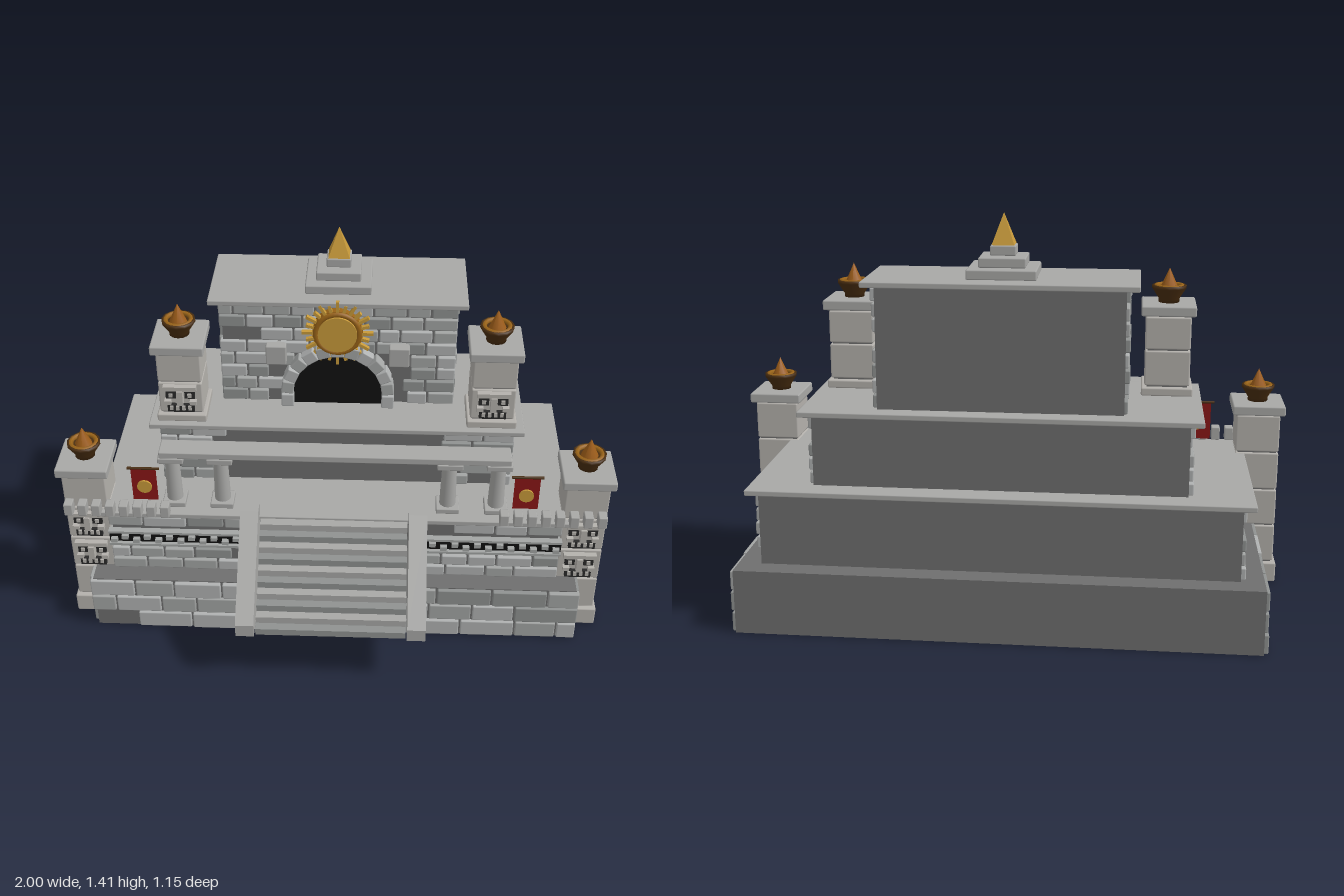
import * as THREE from 'three';
import { mergeGeometries } from 'three/addons/utils/BufferGeometryUtils.js';
import { RoundedBoxGeometry } from 'three/addons/geometries/RoundedBoxGeometry.js';

const mat = (color, extra = {}) => new THREE.MeshStandardMaterial({ color, ...extra });
const M = {
  core: mat(0x6e6e6e), slab: mat(0xa8a8a6), pillar: mat(0xb4b1ac), dark: mat(0x2a2a2a), black: mat(0x101010),
  gold: mat(0xc89a3a), bowl: mat(0x4a2e10), ember: mat(0x9a6418), flame: mat(0x9c5c18),
  red: mat(0x8a1616, { side: THREE.DoubleSide }),
};
const shades = [0x8f9291, 0xa3a5a4, 0xb0b2b2].map((c) => mat(c));

let seed = 7;
const rand = () => (seed = (seed * 16807) % 2147483647) / 2147483647;

function mesh(parent, name, geo, material, x = 0, y = 0, z = 0) {
  const m = new THREE.Mesh(geo, material);
  m.name = name;
  m.position.set(x, y, z);
  parent.add(m);
  return m;
}
function group(parent, name, x = 0, y = 0, z = 0) {
  const g = new THREE.Group();
  g.name = name;
  g.position.set(x, y, z);
  parent.add(g);
  return g;
}
// Box given by its limits on each axis
function box(parent, name, [x0, x1], [y0, y1], [z0, z1], material, round = 0) {
  const s = [x1 - x0, y1 - y0, z1 - z0];
  const geo = round ? new RoundedBoxGeometry(...s, 1, round) : new THREE.BoxGeometry(...s);
  return mesh(parent, name, geo, material, (x0 + x1) / 2, (y0 + y1) / 2, (z0 + z1) / 2);
}

// Courses of staggered stones; side is 0 for a front wall, +1 / -1 for a left / right wall
function stoneWall(parent, name, side, [u0, u1], [y0, y1], rows, at, width, missing = 0, blocked = () => false) {
  const buckets = shades.map(() => []);
  const h = (y1 - y0) / rows, gap = 0.007, depth = 0.03;
  for (let r = 0; r < rows; r++) {
    let u = u0;
    const y = y0 + (r + 0.5) * h;
    let w = width * (r % 2 ? 0.55 : 1);
    while (u < u1 - 0.01) {
      let end = Math.min(u + w, u1);
      if (u1 - end < width * 0.35) end = u1;
      const mid = (u + end) / 2, len = end - u - gap;
      if (rand() >= missing && !blocked(mid, y, len)) {
        const geo = side ? new RoundedBoxGeometry(depth, h - gap, len, 1, 0.005)
          : new RoundedBoxGeometry(len, h - gap, depth, 1, 0.005);
        const out = at - depth / 2 + rand() * 0.006 - 0.003;
        if (side) geo.translate(side * out, y, mid);
        else geo.translate(mid, y, out);
        buckets[Math.floor(rand() * 3)].push(geo);
      }
      u = end;
      w = width * (0.75 + rand() * 0.5);
    }
  }
  const g = group(parent, name);
  buckets.forEach((b, i) => b.length && mesh(g, 'stones', mergeGeometries(b), shades[i]));
}

// Carved mask: brow, eyes, nose and toothed mouth, on a pillar front
function mask(parent, y, z) {
  const g = group(parent, 'carvedMask', 0, y, z);
  box(g, 'brow', [-0.06, 0.06], [0.038, 0.055], [-0.01, 0.022], M.pillar);
  box(g, 'nose', [-0.011, 0.011], [-0.018, 0.04], [-0.01, 0.03], M.pillar);
  box(g, 'mouth', [-0.048, 0.048], [-0.055, -0.025], [-0.01, 0.014], M.dark);
  for (const s of [-1, 1]) {
    box(g, 'eyeSocket', [s * 0.034 - 0.018, s * 0.034 + 0.018], [0.002, 0.034], [-0.01, 0.012], M.dark);
    box(g, 'pupil', [s * 0.034 - 0.007, s * 0.034 + 0.007], [0.01, 0.024], [-0.01, 0.018], M.pillar);
    box(g, 'cheek', [s * 0.046 - 0.012, s * 0.046 + 0.012], [-0.022, -0.006], [-0.01, 0.02], M.pillar);
  }
  for (let i = 0; i < 4; i++) box(g, 'tooth', [-0.039 + i * 0.022, -0.027 + i * 0.022], [-0.044, -0.027], [0, 0.02], M.pillar);
}

// Fire bowl with embers and flame, standing on y = 0
function brazier(parent, y) {
  const g = group(parent, 'brazier', 0, y, 0);
  const profile = [[0, 0], [0.036, 0], [0.036, 0.012], [0.06, 0.05], [0.06, 0.06], [0.05, 0.06], [0.045, 0.05], [0, 0.05]];
  mesh(g, 'bowl', new THREE.LatheGeometry(profile.map((p) => new THREE.Vector2(...p)), 12), M.bowl);
  mesh(g, 'embers', new THREE.TorusGeometry(0.046, 0.009, 6, 16).rotateX(Math.PI / 2), M.ember, 0, 0.055, 0);
  mesh(g, 'flame', new THREE.ConeGeometry(0.032, 0.07, 8), M.flame, 0, 0.085, 0);
}

// Pillar of stacked blocks with cap and brazier
function pillar(parent, name, x, z, joints, masks) {
  const g = group(parent, name, x, 0, z);
  const top = joints[joints.length - 1];
  for (let i = 0; i < joints.length - 1; i++) {
    const r = i === 0 ? 0.09 : 0.079;
    box(g, 'block', [-r, r], [joints[i], joints[i + 1] - 0.005], [-r, r], M.pillar, 0.006);
  }
  box(g, 'pillarCore', [-0.07, 0.07], [joints[0] + 0.01, top], [-0.07, 0.07], M.core);
  box(g, 'cap', [-0.095, 0.095], [top, top + 0.036], [-0.1, 0.1], M.slab, 0.006);
  masks.forEach((y) => mask(g, y, 0.079));
  brazier(g, top + 0.036);
}

export function createModel() {
  const model = new THREE.Group();
  model.name = 'steppedTemple';

  // Terraces: half width, y range, z range, slab overhang, courses, stone width, missing share, front gap
  const tiers = [
    { name: 'base', w: 0.91, y: [0, 0.228], z: [-0.575, 0.315], slab: 0, rows: 3, len: 0.17, miss: 0.02, open: () => false },
    { name: 'lowerTerrace', w: 0.83, y: [0.228, 0.48], z: [-0.5, 0.235], slab: 0.028, rows: 5, len: 0.13, miss: 0.07, open: (x, y) => Math.abs(x) < 0.3 || (y > 0.35 && y < 0.41) },
    { name: 'middleTerrace', w: 0.65, y: [0.5, 0.745], z: [-0.445, 0.03], slab: 0.03, rows: 5, len: 0.12, miss: 0.08, open: (x, y, l) => Math.abs(x) - l / 2 < 0.33 },
    { name: 'shrine', w: 0.43, y: [0.765, 1.183], z: [-0.41, -0.11], slab: 0.03, rows: 8, len: 0.1, miss: 0.08, open: (x, y, l) => Math.abs(x) - l / 2 < 0.15 && y < 0.98 },
  ];
  for (const t of tiers) {
    const g = group(model, t.name);
    box(g, 'core', [-t.w + 0.014, t.w - 0.014], t.y, [t.z[0], t.z[1] - 0.014], M.core);
    stoneWall(g, 'frontStones', 0, [-t.w, t.w], t.y, t.rows, t.z[1], t.len, t.miss, t.open);
    for (const s of [1, -1]) stoneWall(g, 'sideStones', s, [t.z[0], t.z[1] - 0.025], t.y, t.rows, t.w, t.len, t.miss * 2);
    if (t.slab) box(g, 'topSlab', [-t.w - t.slab, t.w + t.slab], [t.y[1], t.y[1] + 0.02], [t.z[0] - t.slab * 0.9, t.z[1] + t.slab * (t.name === 'lowerTerrace' ? 0.3 : 0.9)], M.slab, 0.004);
  }

  // Stairway with sloped side walls
  const stairs = group(model, 'stairway');
  const steps = 10;
  for (let i = 0; i < steps; i++) {
    const z = 0.57 - i * 0.032;
    box(stairs, 'step', [-0.265, 0.265], [0.23, 0.23 + (i + 1) * 0.0265], [z - 0.034, z], i % 2 ? M.slab : shades[0]);
  }
  const ramp = new THREE.Shape([[0.22, 0.23], [0.58, 0.23], [0.58, 0.28], [0.275, 0.55], [0.22, 0.55]].map((p) => new THREE.Vector2(...p)));
  for (const s of [1, -1]) {
    const geo = new THREE.ExtrudeGeometry(ramp, { depth: 0.065, bevelEnabled: false });
    geo.translate(0, 0, -0.0325).rotateY(-Math.PI / 2);
    mesh(stairs, 'stairWall', geo, M.slab, s * 0.302, 0, 0);
  }

  // Mirrored fittings of the lower front
  for (const s of [1, -1]) {
    const wing = group(model, s > 0 ? 'leftWing' : 'rightWing');
    pillar(wing, 'lowerPillar', s * 0.903, 0.142, [0, 0.08, 0.225, 0.365, 0.508, 0.65], [0.295, 0.435]);
    pillar(wing, 'upperPillar', s * 0.56, -0.055, [0.765, 0.8, 0.93, 1.05], [0.865]);
    for (let i = 0; i < 8; i++) {
      const x = s * (0.61 + i * 0.05);
      box(wing, 'merlon', [x - 0.016, x + 0.016], [0.5, 0.55], [0.225, 0.268], M.slab, 0.004);
    }
    // Fretwork frieze
    const x0 = s > 0 ? 0.34 : -0.83;
    box(wing, 'friezeBand', [x0, x0 + 0.49], [0.355, 0.405], [0.2, 0.232], M.black);
    for (let i = 0; i < 12; i++) {
      const x = s * (0.36 + i * 0.041), y = i % 2 ? 0.372 : 0.388;
      box(wing, 'friezeStone', [x - 0.012, x + 0.012], [y - 0.008, y + 0.008], [0.22, 0.25], shades[1]);
    }
    for (const y of [0.352, 0.408]) box(wing, 'friezeRail', [x0, x0 + 0.49], [y - 0.005, y + 0.005], [0.21, 0.246], shades[1]);
    // Porch columns
    for (const x of [0.41, 0.585]) {
      const c = group(wing, 'column', s * x, 0, 0.162);
      mesh(c, 'shaft', new THREE.CylinderGeometry(0.026, 0.03, 0.19, 12), M.slab, 0, 0.61, 0);
      box(c, 'plinth', [-0.042, 0.042], [0.5, 0.522], [-0.042, 0.042], M.slab, 0.004);
      box(c, 'capital', [-0.046, 0.046], [0.7, 0.723], [-0.046, 0.046], M.slab, 0.004);
    }
    // Hanging banner
    const b = group(wing, 'banner', s * 0.69, 0, 0.183);
    mesh(b, 'cloth', new THREE.PlaneGeometry(0.092, 0.14), M.red, 0, 0.588, 0);
    mesh(b, 'rod', new THREE.CylinderGeometry(0.005, 0.005, 0.115, 8).rotateZ(Math.PI / 2), M.bowl, 0, 0.66, 0);
    mesh(b, 'emblem', new THREE.CylinderGeometry(0.027, 0.027, 0.008, 16).rotateX(Math.PI / 2), M.gold, 0, 0.58, 0.003);
    // Corbel beside the arch
    box(wing, 'corbel', [s * 0.222 - 0.037, s * 0.222 + 0.037], [0.945, 1.022], [-0.13, -0.078], M.slab, 0.005);
  }
  box(model, 'porchBeam', [-0.625, 0.625], [0.722, 0.748], [0.122, 0.205], M.slab, 0.004);

  // Arched doorway
  const arch = group(model, 'doorway');
  const hole = new THREE.Shape();
  hole.moveTo(-0.165, 0.765).lineTo(0.165, 0.765).lineTo(0.165, 0.82).absarc(0, 0.82, 0.165, 0, Math.PI);
  mesh(arch, 'darkOpening', new THREE.ExtrudeGeometry(hole, { depth: 0.016, bevelEnabled: false }), M.black, 0, 0, -0.124);
  const voussoirs = 11;
  for (let i = 0; i < voussoirs; i++) {
    const a = ((i + 0.5) / voussoirs) * Math.PI;
    const v = mesh(arch, 'archStone', new RoundedBoxGeometry(0.046, 0.049, 0.055, 1, 0.005), shades[1 + (i % 2)], Math.cos(a) * 0.184, 0.82 + Math.sin(a) * 0.184, -0.105);
    v.rotation.z = a;
  }
  for (const s of [1, -1]) box(arch, 'jamb', [s * 0.184 - 0.023, s * 0.184 + 0.023], [0.765, 0.818], [-0.13, -0.076], shades[2], 0.005);

  // Sun disc with rays
  const sun = group(model, 'sunDisc', 0, 1.08, -0.085);
  mesh(sun, 'disc', new THREE.CylinderGeometry(0.07, 0.07, 0.03, 32).rotateX(Math.PI / 2), M.gold);
  mesh(sun, 'rim', new THREE.TorusGeometry(0.078, 0.011, 8, 32), M.ember);
  mesh(sun, 'backing', new THREE.CylinderGeometry(0.09, 0.09, 0.04, 32).rotateX(Math.PI / 2), M.ember, 0, 0, -0.018);
  for (let i = 0; i < 24; i++) {
    const a = (i / 24) * Math.PI * 2, len = i % 2 ? 0.03 : 0.042;
    const ray = mesh(sun, 'ray', new THREE.BoxGeometry(len, 0.011, 0.016), M.gold, Math.cos(a) * (0.086 + len / 2), Math.sin(a) * (0.086 + len / 2), -0.004);
    ray.rotation.z = a;
  }

  // Roof steps and gilded pyramid
  const roof = group(model, 'roofCrest', 0, 0, -0.252);
  [[0.118, 0.108], [0.08, 0.075], [0.044, 0.04]].forEach(([x, z], i) =>
    box(roof, 'crestStep', [-x, x], [1.202 + i * 0.036, 1.236 + i * 0.036], [-z, z], M.slab, 0.005));
  mesh(roof, 'spire', new THREE.ConeGeometry(0.054, 0.106, 4).rotateY(Math.PI / 4).toNonIndexed(), mat(0xc89a3a, { flatShading: true }), 0, 1.362, 0);
  return model;
}
